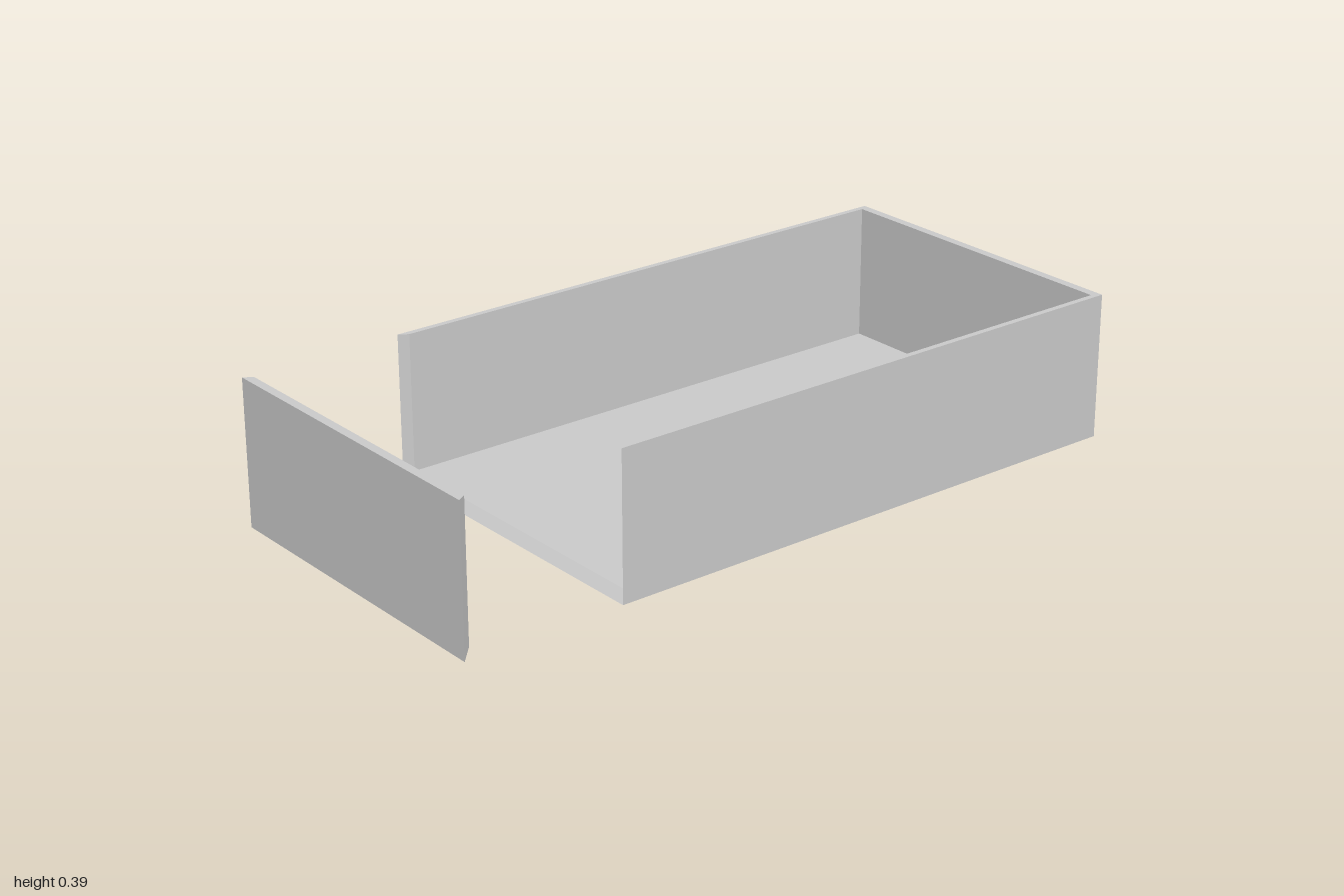
import * as THREE from 'three';

// Overall sizes of the open tray and its wall thicknesses per axis
const X0 = -0.556, X1 = 1, HALF_Z = 0.451, HEIGHT = 0.394;
const TX = 0.024, TY = 0.024, TZ = 0.016;
const LENGTH = X1 - X0, MID_X = (X0 + X1) / 2;

const material = new THREE.MeshStandardMaterial({ color: 0xcccccc, flatShading: true });

// Panel with its outer face at z = 0 facing +z; the inner face is cut back to form mitres
function mitredPanel(name, width, height, thickness, side, bottom, top) {
  const geometry = new THREE.BoxGeometry(width, height, thickness);
  geometry.translate(0, 0, -thickness / 2);
  const p = geometry.attributes.position;
  for (let i = 0; i < p.count; i++) {
    if (p.getZ(i) > -thickness / 2) continue;
    p.setX(i, p.getX(i) - Math.sign(p.getX(i)) * side);
    p.setY(i, p.getY(i) + (p.getY(i) < 0 ? bottom : -top));
  }
  geometry.computeVertexNormals();
  const mesh = new THREE.Mesh(geometry, material);
  mesh.name = name;
  return mesh;
}

export function createModel() {
  const group = new THREE.Group();
  group.name = 'trayWithDetachedEnd';

  // Floor, mitred on all four edges, outer face down
  const floor = mitredPanel('floor', LENGTH, HALF_Z * 2, TY, TX, TZ, TZ);
  floor.rotation.x = Math.PI / 2;
  floor.position.set(MID_X, 0, 0);
  group.add(floor);

  // Long walls
  for (const s of [1, -1]) {
    const wall = mitredPanel(s > 0 ? 'frontWall' : 'backWall', LENGTH, HEIGHT, TZ, TX, TY, 0);
    wall.rotation.y = s > 0 ? 0 : Math.PI;
    wall.position.set(MID_X, HEIGHT / 2, s * HALF_Z);
    group.add(wall);
  }

  // End walls: the left one closes the tray, the right one stands apart
  for (const s of [1, -1]) {
    const end = mitredPanel(s > 0 ? 'leftEndWall' : 'detachedEndWall', HALF_Z * 2, HEIGHT, TX, TZ, TY, 0);
    end.rotation.y = s * Math.PI / 2;
    end.position.set(s, HEIGHT / 2, 0);
    group.add(end);
  }
  return group;
}
